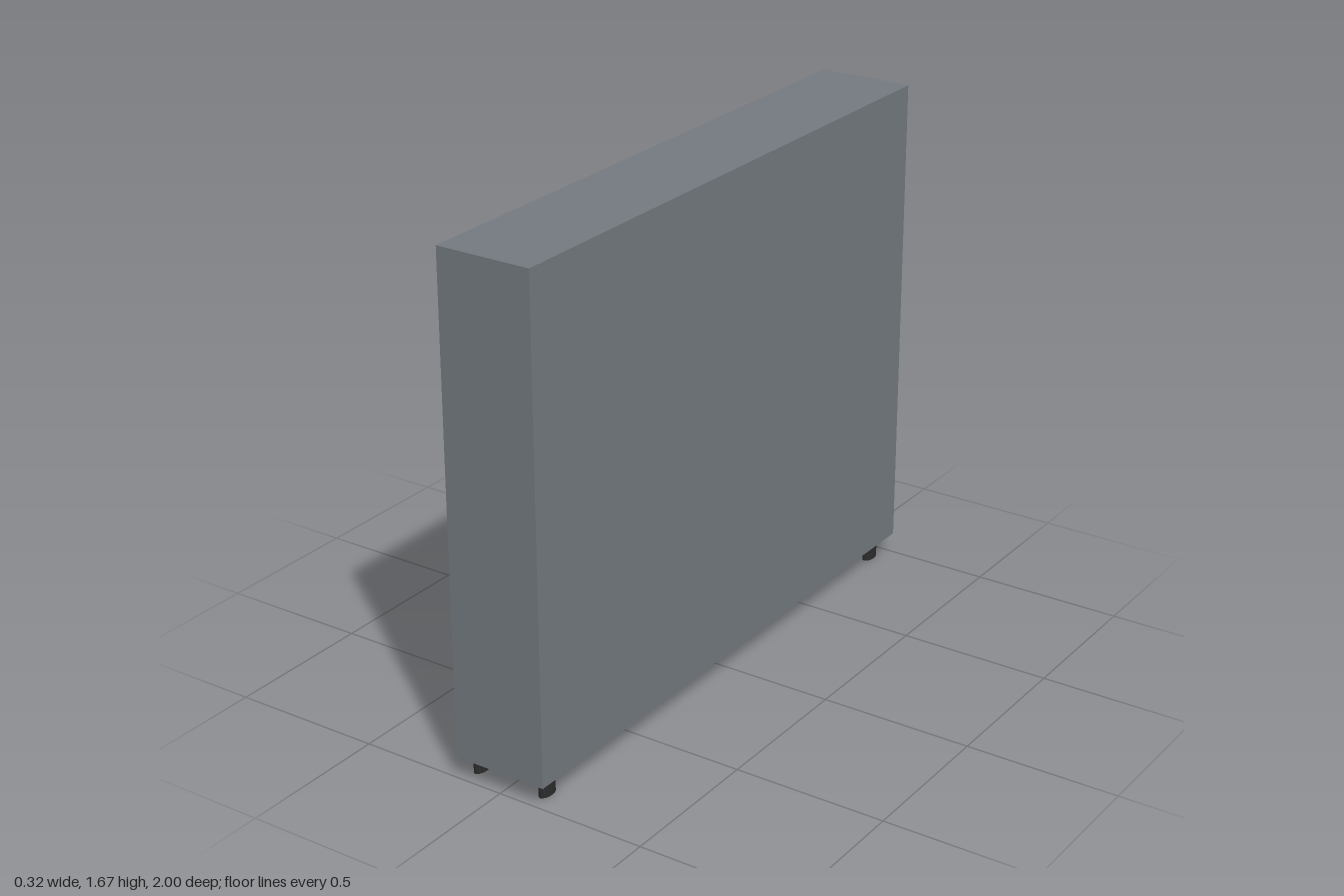
import * as THREE from 'three';

const mat = (color) => new THREE.MeshStandardMaterial({ color });

export function createModel() {
  const model = new THREE.Group();
  const body = mat(0x737980), dark = mat(0x2b2b2b), paper = mat(0xc8ad7c);
  const red = mat(0x9a1414), green = mat(0x14781e), blue = mat(0x2a63a8);

  const box = (parent, name, material, size, pos) => {
    const mesh = new THREE.Mesh(new THREE.BoxGeometry(...size), material);
    mesh.name = name;
    mesh.position.set(...pos);
    parent.add(mesh);
    return mesh;
  };

  // Carcass: open towards -x, closed by a panel at +x
  const depth = 0.316, base = 0.07, top = 1.67, t = 0.015, backT = 0.01;
  const height = top - base, midY = (base + top) / 2;
  const innerDepth = depth - backT, innerX = -backT / 2;
  box(model, 'backPanel', body, [backT, height, 2], [(depth - backT) / 2, midY, 0]);
  for (const s of [-1, 1]) {
    box(model, 'sidePanel', body, [innerDepth, height, t], [innerX, midY, s * (1 - t / 2)]);
  }
  box(model, 'topPanel', body, [innerDepth, t, 2 - 2 * t], [innerX, top - t / 2, 0]);
  box(model, 'bottomPanel', body, [innerDepth, t, 2 - 2 * t], [innerX, base + t / 2, 0]);

  // Four by four grid of compartments
  for (let i = 1; i < 4; i++) {
    box(model, 'shelf', body, [innerDepth, t, 2 - 2 * t], [innerX, base + i * height / 4, 0]);
    box(model, 'divider', body, [innerDepth, height - 2 * t, t], [innerX, midY, -1 + i * 0.5]);
  }

  // Oval feet
  for (const x of [-0.128, 0.112]) {
    for (const z of [-0.92, 0.92]) {
      const foot = new THREE.Mesh(new THREE.CylinderGeometry(1, 1, base, 16), dark);
      foot.name = 'foot';
      foot.scale.set(0.018, 1, 0.035);
      foot.position.set(x, base / 2, z);
      model.add(foot);
    }
  }

  // A closed book lying flat: spine at +x, length along z, resting on y = 0
  const book = (cover, thick, length = 0.2, width = 0.13) => {
    const g = new THREE.Group(), c = 0.004;
    g.name = 'book';
    box(g, 'pages', paper, [width - 0.008, thick - 2 * c, length - 0.004], [-0.002, thick / 2, 0]);
    box(g, 'lowerCover', cover, [width, c, length], [0, c / 2, 0]);
    box(g, 'upperCover', cover, [width, c, length], [0, thick - c / 2, 0]);
    box(g, 'spine', cover, [c, thick - 2 * c, length], [(width - c) / 2, thick / 2, 0]);
    model.add(g);
    return g;
  };
  const floorY = (row) => base + row * height / 4 + t / 2;

  // Single turned book
  const single = book(green, 0.045);
  single.position.set(0.042, floorY(2), -0.71);
  single.rotation.y = -Math.PI / 6;

  // Loose stack
  [[green, 0.05], [red, -0.22], [green, 0.28], [green, -0.08]].forEach(([cover, turn], i) => {
    const b = book(cover, 0.039);
    b.position.set(0.055, floorY(1) + i * 0.039, 0.84);
    b.rotation.y = turn;
  });

  // Standing row, each book pulled out a little further than the last
  [red, green, green, blue].forEach((cover, i) => {
    const b = book(cover, 0.042);
    b.rotation.x = Math.PI / 2;
    b.position.set(0.08 - i * 0.014, floorY(3) + 0.1, 0.265 + i * 0.044);
  });

  return model;
}
